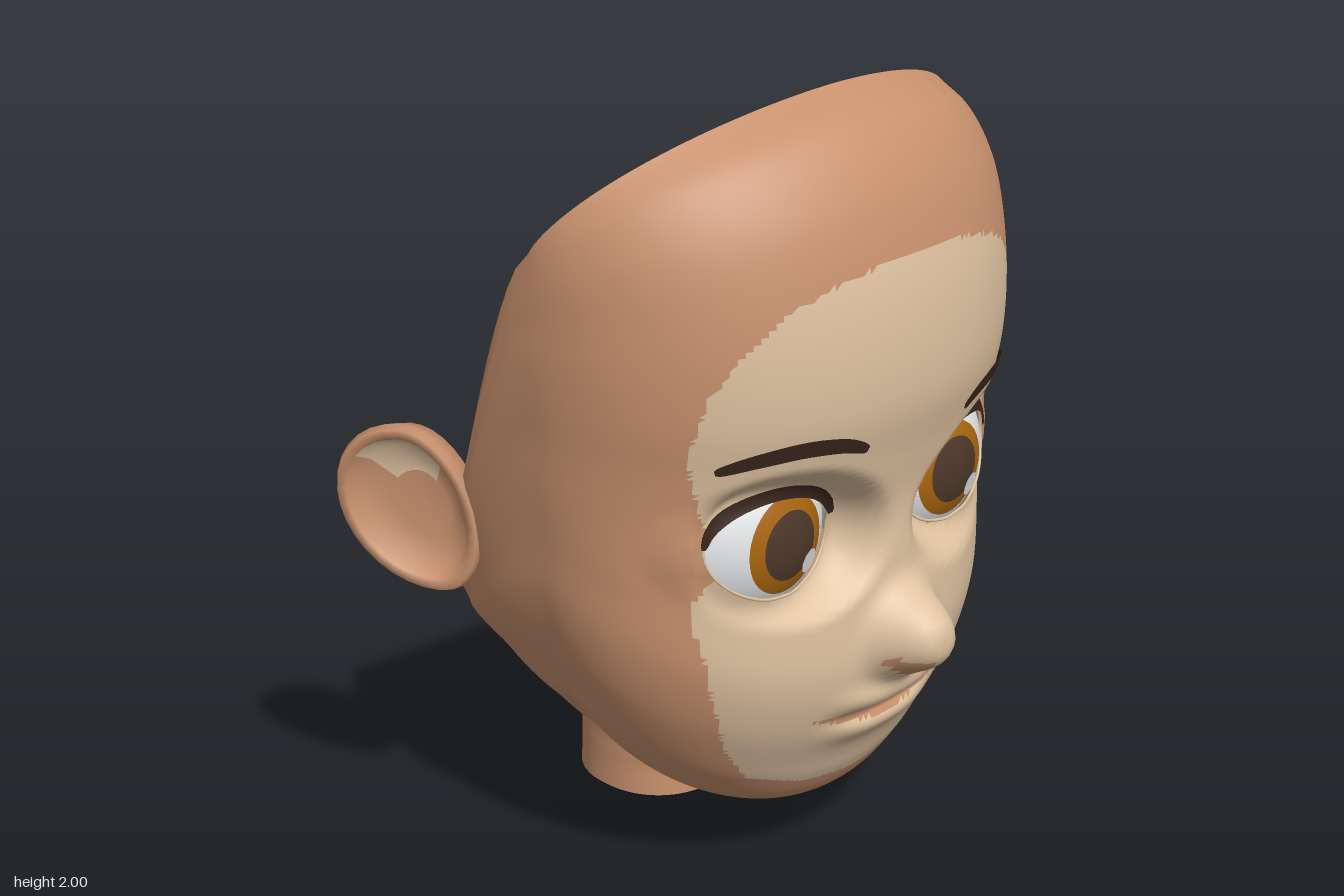
import * as THREE from 'three';

const mat = (name, color) => {
  const m = new THREE.MeshStandardMaterial({ color, side: THREE.DoubleSide });
  m.name = name;
  return m;
};
const skin = mat('tan skin', 0xc8916d);
const faceSkin = mat('light face skin', 0xdfc2a0);
const hair = mat('dark hairline', 0x2e2019);
const brown = mat('brow brown', 0x38241b);
const white = mat('eye white', 0xe6e8ea);
const amber = mat('iris amber', 0xa8650f);
const pupilMat = mat('pupil brown', 0x4e382a);
const grey = mat('block grey', 0xd2d2d2);

const { lerp, smoothstep } = THREE.MathUtils;
const gauss = (a) => Math.exp(-a * a);
const EYE = { x: 0.31, y: 0.98, z: 0.188, r: 0.267 };
const LID = { x: 0.332, y: 0.983, rx: 0.187, ry: 0.132 };

// Profiles from neck to rim: front [z, y], side [x, z, y], back [z, y]
const front = [[-.11, 0], [-.11, .1], [-.09, .155], [-.03, .17], [.1, .155], [.25, .15], [.34, .19],
  [.4, .27], [.43, .33], [.49, .45], [.53, .6], [.525, .8], [.525, 1], [.555, 1.15], [.59, 1.3],
  [.595, 1.45], [.575, 1.62], [.52, 1.8], [.43, 1.93], [.3, 2]];
const side = [[.2, -.31, .01], [.2, -.31, .1], [.21, -.3, .2], [.26, -.27, .25], [.33, -.2, .29],
  [.41, -.13, .35], [.48, -.08, .42], [.55, -.05, .5], [.6, -.03, .6], [.65, -.02, .72], [.68, -.01, .85],
  [.69, 0, .98], [.7, 0, 1.12], [.705, 0, 1.24], [.712, 0, 1.35], [.715, 0, 1.45], [.712, 0, 1.53],
  [.71, 0, 1.6], [.705, 0, 1.65], [.7, 0, 1.69]];
const back = [[-.51, .01], [-.5, .14], [-.49, .26], [-.49, .32], [-.5, .37], [-.515, .42], [-.53, .46],
  [-.55, .51], [-.57, .55], [-.59, .59], [-.605, .62], [-.62, .65], [-.63, .67], [-.64, .69], [-.645, .71],
  [-.65, .725], [-.655, .735], [-.66, .745], [-.66, .748], [-.66, .75]];
const curve = (pts) => new THREE.CatmullRomCurve3(pts);
const frontCurve = curve(front.map(([z, y]) => new THREE.Vector3(0, y, z)));
const sideCurve = curve(side.map(([x, z, y]) => new THREE.Vector3(x, y, z)));
const backCurve = curve(back.map(([z, y]) => new THREE.Vector3(0, y, z)));

// Half width of the light face area at a height
const patch = [[.25, 0], [.27, .18], [.33, .34], [.45, .43], [.6, .49], [.8, .535], [.88, .54], [.93, .5],
  [1.03, .5], [1.1, .53], [1.25, .57], [1.4, .545], [1.5, .48], [1.58, .39], [1.62, .29], [1.66, .1]];
function patchWidth(y) {
  for (let i = 1; i < patch.length; i++) {
    const [y0, w0] = patch[i - 1], [y1, w1] = patch[i];
    if (y >= y0 && y < y1) return lerp(w0, w1, (y - y0) / (y1 - y0));
  }
  return -1;
}
// Normalised distance from the eye opening's centre (1 on its edge)
function lidRadius(x, y) {
  const dx = Math.abs(x) - LID.x;
  return Math.hypot(dx / LID.rx, (y - LID.y - 0.1 * dx) / LID.ry);
}
const mouthY = (x) => 0.467 + 0.026 * (x / 0.24) ** 2;

// Nose, lips and eye sockets pushed out of or into the front surface
function sculpt(p) {
  let r = lidRadius(p.x, p.y);
  if (Math.abs(r - 1) < 0.055) {
    const s = Math.sign(p.x), dx = Math.abs(p.x) - LID.x, dy = p.y - LID.y;
    p.x = s * (LID.x + dx / r);
    p.y = LID.y + dy / r;
    r = 1;
  }
  const d = Math.min(Math.hypot(Math.abs(p.x) - EYE.x, p.y - EYE.y), 0.215);
  const ball = EYE.z + Math.sqrt(EYE.r ** 2 - d * d) + 0.008;
  p.z = lerp(p.z, ball, 1 - smoothstep(r, 0.9, 1.6));
  if (r < 1.01) p.z = ball;
  else if (r < 1.2) p.z = Math.max(p.z, ball);
  const n = Math.hypot(p.x / 0.105, (p.y - 0.684) / 0.106);
  p.z += 0.14 * Math.exp(-(n ** 3.5)) + 0.008 * gauss(p.x / 0.06) * gauss((p.y - 0.88) / 0.12);
  const m = p.y - mouthY(p.x), wide = 1 - smoothstep(Math.abs(p.x), 0.06, 0.26);
  p.z += wide * (0.024 * gauss((m - 0.048) / 0.036) - 0.02 * gauss(m / 0.016) + 0.02 * gauss((m + 0.048) / 0.034));
}

function shellPoint(t, v) {
  const f = frontCurve.getPoint(v), s = sideCurve.getPoint(v), b = backCurve.getPoint(v);
  const c = Math.cos(t), up = smoothstep(v, 0.65, 1);
  const e = 2 / (c > 0 ? lerp(2.1, 1.9, smoothstep(v, 0.85, 1)) : 2.1 + 0.5 * v);
  const k = Math.abs(c) ** e, end = c > 0 ? f : b;
  // the rim bows upwards at the front and drops in an S at the back
  const drop = c > 0 ? k ** lerp(1, 0.9, up)
    : lerp(smoothstep(k, 0, 0.79), Math.sin((Math.PI / 2) * Math.min(1, k / 0.79)) ** 1.5, up);
  const p = new THREE.Vector3(Math.sign(Math.sin(t)) * s.x * Math.abs(Math.sin(t)) ** e,
    lerp(s.y, end.y, drop), lerp(s.z, end.z, k));
  if (c > 0 && p.z > 0.2 && v > 0.35) sculpt(p);
  // small upright point at each end of the hairline
  const spike = gauss((Math.abs(t) - 2.3) / 0.1) * Math.max(0, (v - 0.88) / 0.12);
  p.y += 0.18 * spike;
  p.z -= 0.05 * spike;
  return p;
}

// Open head shell: returns the drawn geometry and an unpierced one for placing details
function headShell() {
  const cols = 220, rows = 210, pos = [], all = [], parts = [[], [], []];
  for (let j = 0; j <= rows; j++)
    for (let i = 0; i < cols; i++) pos.push(...shellPoint(-Math.PI + (i / cols) * 2 * Math.PI, j / rows));
  const at = (i, k) => pos[i * 3 + k];
  const add = (i, j, tri) => {
    all.push(...tri);
    const [x, y, z] = [0, 1, 2].map((k) => (at(tri[0], k) + at(tri[1], k) + at(tri[2], k)) / 3);
    const t = Math.abs(-Math.PI + ((i + 0.5) / cols) * 2 * Math.PI), v = j / rows;
    const inFront = z > 0.2 && t < Math.PI / 2 && v > 0.3;
    if (inFront && lidRadius(x, y) < 0.995) return;
    const underNose = Math.hypot(x / 0.112, (y - 0.665) / 0.085) < 1 && y < 0.627 + 0.28 * Math.abs(x);
    const lipLine = Math.abs(y - mouthY(x)) < 0.02 * (1 - (x / 0.25) ** 2);
    let part = 0;
    if (inFront && Math.abs(x) < patchWidth(y) && !underNose && !lipLine) part = 1;
    if (t > 2.05 && v > 0.42 + 0.58 * ((Math.PI - t) / 1.05) ** 2.3) part = 2;
    parts[part].push(...tri);
  };
  for (let j = 0; j < rows; j++)
    for (let i = 0; i < cols; i++) {
      const a = j * cols + i, b = j * cols + ((i + 1) % cols), c = a + cols, d = b + cols;
      add(i, j, [a, b, d]);
      add(i, j, [a, d, c]);
    }
  const full = new THREE.BufferGeometry();
  full.setAttribute('position', new THREE.Float32BufferAttribute(pos, 3));
  full.setIndex(all);
  full.computeVertexNormals();
  const geo = full.clone();
  geo.setIndex(parts.flat());
  let start = 0;
  parts.forEach((p, i) => { geo.addGroup(start, p.length, i); start += p.length; });
  return { geo, full };
}

// Cupped ear, swept outwards and back, with a light inner fold
function earGeometry(s) {
  const rings = [[.01, -.1, 0], [.6, -.09, -.03], [.92, -.055, -.01], [1, 0, 0], [.96, .02, 0],
    [.84, .015, 0], [.72, -.02, -.01], [.4, -.03, -.03], [.01, -.03, -.04]];
  const n = 32, pos = [], parts = [[], []];
  for (const [k, d, shift] of rings)
    for (let i = 0; i < n; i++) {
      const a = (i / n) * 2 * Math.PI, c = Math.cos(a), h = Math.sin(a);
      const u = k * ((c > 0 ? 0.21 : 0.14) * c + 0.045 * (h - 1)) + shift;
      pos.push(s * (0.755 + 0.5 * u + 0.86 * d), 0.972 + k * 0.215 * h, -0.41 - 0.86 * u + 0.5 * d);
    }
  for (let j = 0; j < rings.length - 1; j++)
    for (let i = 0; i < n; i++) {
      const a = j * n + i, b = j * n + ((i + 1) % n), light = j >= 5 && j < 7 && i >= 4 && i < 12;
      parts[light ? 1 : 0].push(a, b, b + n, a, b + n, a + n);
    }
  const geo = new THREE.BufferGeometry();
  geo.setAttribute('position', new THREE.Float32BufferAttribute(pos, 3));
  geo.setIndex(parts.flat());
  geo.addGroup(0, parts[0].length, 0);
  geo.addGroup(parts[0].length, parts[1].length, 1);
  geo.computeVertexNormals();
  return geo;
}

export function createModel() {
  const model = new THREE.Group();
  model.name = 'head';
  const add = (name, geo, material, parent = model) => {
    const m = new THREE.Mesh(geo, material);
    m.name = name;
    parent.add(m);
    return m;
  };
  const { geo, full } = headShell();
  add('headShell', geo, [skin, faceSkin, hair]);

  const target = new THREE.Mesh(full, skin), ray = new THREE.Raycaster();
  const onFace = (x, y) => {
    ray.set(new THREE.Vector3(x, y, 3), new THREE.Vector3(0, 0, -1));
    const hit = ray.intersectObject(target)[0];
    return new THREE.Vector3(x, y, hit ? hit.point.z : 0.4);
  };
  // Tapered painted stroke lying on the face
  const stroke = (pts, width) => {
    const path = new THREE.SplineCurve(pts.map(([x, y]) => new THREE.Vector2(x, y))), n = 28, pos = [], idx = [];
    for (let i = 0; i <= n; i++) {
      const p = path.getPoint(i / n), t = path.getTangent(i / n);
      const w = width * 0.5 * (0.3 + 0.7 * Math.sqrt(Math.abs(Math.sin((Math.PI * i) / n))));
      for (const s of [-1, 0, 1]) {
        const q = onFace(p.x - t.y * w * s, p.y + t.x * w * s);
        pos.push(q.x, q.y, q.z + 0.009);
      }
      if (i < n) for (const a of [i * 3, i * 3 + 1]) idx.push(a, a + 3, a + 4, a, a + 4, a + 1);
    }
    const g = new THREE.BufferGeometry();
    g.setAttribute('position', new THREE.Float32BufferAttribute(pos, 3));
    g.setIndex(idx);
    g.computeVertexNormals();
    return g;
  };
  const lidPoint = (s, a, r) => {
    const dx = LID.rx * r * Math.cos(a);
    return [s * (LID.x + dx), LID.y + 0.1 * dx + LID.ry * r * Math.sin(a)];
  };

  for (const s of [1, -1]) {
    const tag = s > 0 ? 'left' : 'right';
    // Hollow half eyeball in three colour bands
    const eye = new THREE.Group();
    eye.name = tag + 'Eye';
    eye.position.set(s * EYE.x, EYE.y, EYE.z);
    model.add(eye);
    const bands = [['pupil', 0, 0.33, pupilMat], ['iris', 0.33, 0.48, amber], ['eyeWhite', 0.48, Math.PI / 2, white]];
    for (const [name, a, b, m] of bands)
      add(name, new THREE.SphereGeometry(EYE.r, 40, 10, 0, 2 * Math.PI, a, b - a).rotateX(Math.PI / 2), m, eye);
    const glint = add('glint', new THREE.CircleGeometry(0.033, 8), white, eye);
    const dir = new THREE.Vector3(0.062, -0.058, 0.255).normalize();
    glint.position.copy(dir).multiplyScalar(EYE.r + 0.004);
    glint.quaternion.setFromUnitVectors(new THREE.Vector3(0, 0, 1), dir);

    // Lid rim, lashes and brow
    const rim = [];
    for (let i = 0; i < 32; i++) rim.push(onFace(...lidPoint(s, (i / 32) * 2 * Math.PI, 1.01)));
    add(tag + 'LidRim', new THREE.TubeGeometry(new THREE.CatmullRomCurve3(rim, true), 64, 0.004, 6, true), faceSkin);
    const lash = [];
    for (let i = 0; i <= 12; i++) lash.push(lidPoint(s, lerp(0.1, 2.85, i / 12), 1.04));
    add(tag + 'Lashes', stroke(lash, 0.035), brown);
    const brow = [[.18, 1.217], [.25, 1.243], [.35, 1.253], [.45, 1.24], [.525, 1.217]];
    add(tag + 'Brow', stroke(brow.map(([x, y]) => [s * x, y]), 0.042), brown);

    add(tag + 'Ear', earGeometry(s), [skin, faceSkin]);
  }

  // Mouth pocket inside the head
  const pocket = add('mouthPocket', new THREE.SphereGeometry(1, 10, 8, 0, Math.PI).rotateY(Math.PI), skin);
  pocket.scale.set(0.25, 0.14, 0.26);
  pocket.position.set(0, 0.52, 0.27);

  // Small loose block inside the head
  add('innerBlock', new THREE.BoxGeometry(0.18, 0.18, 0.175), grey).position.set(0, 1.15, -0.175);
  return model;
}
